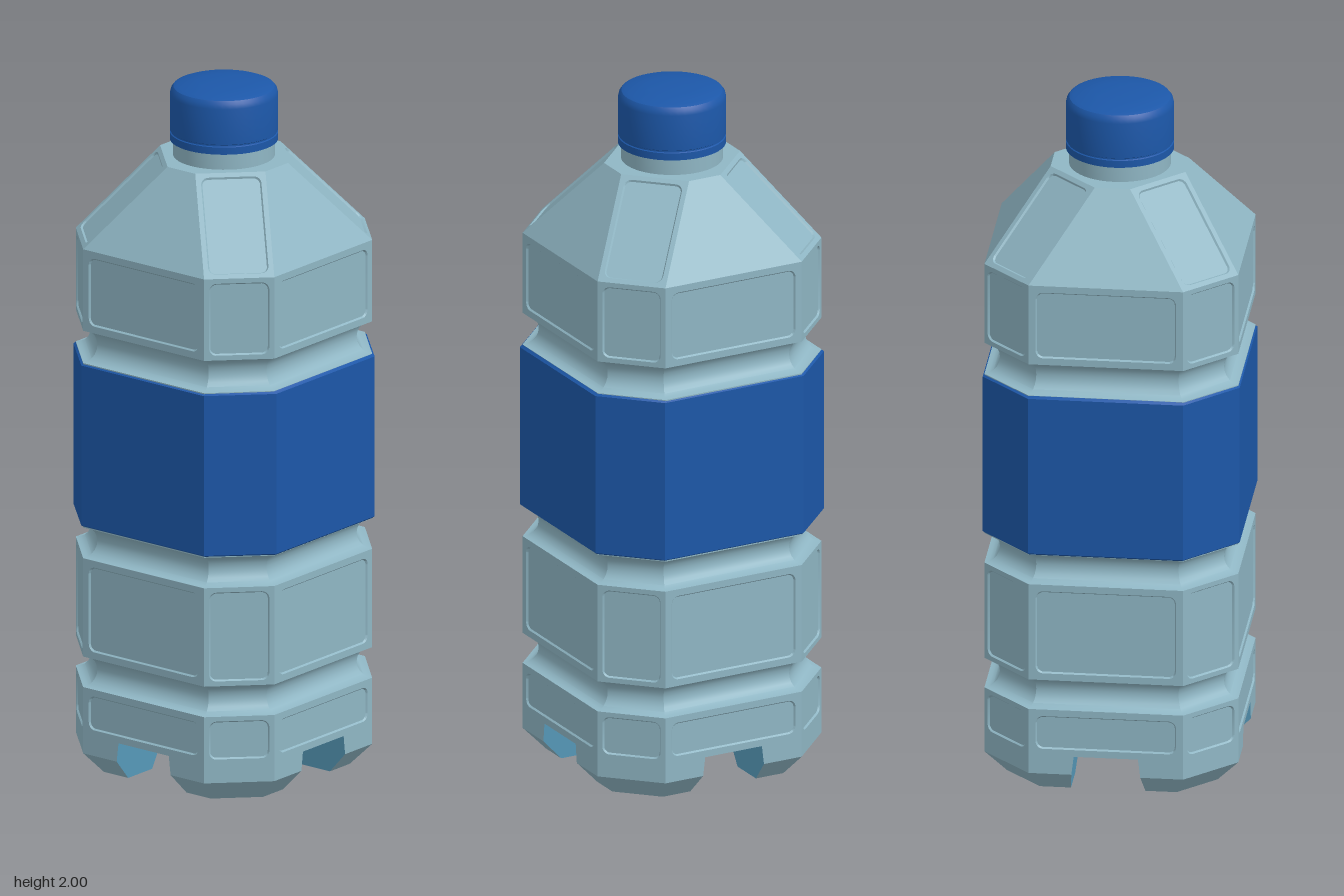
import * as THREE from 'three';
import { mergeGeometries, toCreasedNormals } from 'three/addons/utils/BufferGeometryUtils.js';

const W = 0.358, C = 0.218;          // body half width and half length of a straight side
const V = (x, y, z) => new THREE.Vector3(x, y, z);

// Octagon ring: square of half width w with its corners cut off beyond c
const oct = (y, w = W, c = C - 0.414 * (W - w)) =>
  [[w, c], [w, -c], [c, -w], [-c, -w], [-w, -c], [-w, c], [-c, w], [c, w]].map(([x, z]) => V(x, y, z));

const fromPoints = (pts) => new THREE.BufferGeometry().setFromPoints(pts);

// Skin between successive rings of points
function loft(rings, closed = true) {
  const pts = [], n = rings[0].length;
  for (let i = 0; i + 1 < rings.length; i++)
    for (let j = 0; j < (closed ? n : n - 1); j++) {
      const k = (j + 1) % n;
      const [a, b, c, d] = [rings[i][j], rings[i][k], rings[i + 1][k], rings[i + 1][j]];
      pts.push(a, b, c, a, c, d);
    }
  return fromPoints(pts);
}

// Flat fan closing a convex ring
function cap(ring, down = false) {
  const pts = [];
  for (let k = 1; k + 1 < ring.length; k++)
    pts.push(ring[0], ring[down ? k + 1 : k], ring[down ? k : k + 1]);
  return fromPoints(pts);
}

// Rounded rectangle path, centred on x = 0
function rounded(hw, y0, y1, r) {
  const s = new THREE.Shape();
  s.absarc(hw - r, y0 + r, r, -Math.PI / 2, 0);
  s.absarc(hw - r, y1 - r, r, 0, Math.PI / 2);
  s.absarc(-hw + r, y1 - r, r, Math.PI / 2, Math.PI);
  s.absarc(-hw + r, y0 + r, r, Math.PI, Math.PI * 1.5);
  return s.getPoints(5).slice(0, -1);
}

function flat(outline, hole) {
  const s = new THREE.Shape(outline);
  if (hole) s.holes.push(new THREE.Path(hole));
  const g = new THREE.ShapeGeometry(s).toNonIndexed();
  g.deleteAttribute('uv');
  g.deleteAttribute('normal');
  return g;
}

// One facet with a shallow sunken panel, from its four corners
function panelFacet(a, b, c, d, margin) {
  const depth = 0.005;
  const m = a.clone().add(b).multiplyScalar(0.5);
  const up = c.clone().add(d).multiplyScalar(0.5).sub(m);
  const h = up.length(), wb = a.distanceTo(b) / 2, wt = d.distanceTo(c) / 2;
  const u = b.clone().sub(a).normalize();
  up.normalize();
  const hw = Math.min(wb, wt) - margin;
  const outer = rounded(hw, margin, h - margin, 0.022);
  const inner = rounded(hw - 0.004, margin + 0.004, h - margin - 0.004, 0.018);
  const outline = [[-wb, 0], [wb, 0], [wt, h], [-wt, h]].map((p) => new THREE.Vector2(...p));
  const g = mergeGeometries([
    flat(outline, outer),
    loft([outer.map((p) => V(p.x, p.y, 0)), inner.map((p) => V(p.x, p.y, -depth))]),
    flat(inner).translate(0, 0, -depth),
  ]);
  const basis = new THREE.Matrix4().makeBasis(u, up, u.clone().cross(up)).setPosition(m);
  return g.applyMatrix4(basis);
}

// Eight facets between two rings; panels only where wanted
function band(lo, hi, sides = true) {
  const parts = [];
  for (let j = 0; j < 8; j++) {
    const k = (j + 1) % 8, corner = j % 2 === 1;
    parts.push(corner || sides
      ? panelFacet(lo[j], lo[k], hi[k], hi[j], corner ? 0.014 : 0.02)
      : loft([[lo[j], lo[k]], [hi[j], hi[k]]], false));
  }
  return mergeGeometries(parts);
}

// Rounded groove running round the body
function groove(y0, y1) {
  const rings = [];
  for (let i = 0; i <= 10; i++) {
    const t = (i / 10) * Math.PI;
    rings.push(oct((y0 + y1) / 2 - ((y1 - y0) / 2) * Math.cos(t), W - 0.042 * Math.sin(t)));
  }
  return loft(rings);
}

export function createModel() {
  const model = new THREE.Group();
  const plastic = new THREE.MeshStandardMaterial({ color: 0x8fb6c4 });
  const blue = new THREE.MeshStandardMaterial({ color: 0x1c57a8 });
  const inside = new THREE.MeshStandardMaterial({ color: 0x5a9fc0, side: THREE.DoubleSide });
  const add = (name, geo, mat, parent = model) => {
    const mesh = new THREE.Mesh(toCreasedNormals(geo, 0.5), mat);
    mesh.name = name;
    parent.add(mesh);
    return mesh;
  };

  // Body: panelled bands and grooves
  add('lowerBand', band(oct(0.12), oct(0.26)), plastic);
  add('middleBand', band(oct(0.35), oct(0.64)), plastic);
  add('upperBand', band(oct(1.31), oct(1.55)), plastic);
  add('labelWall', loft([oct(0.73), oct(1.215)]), plastic);
  [[0.26, 0.35], [0.64, 0.73], [1.215, 1.31]].forEach(([a, b]) => add('groove', groove(a, b), plastic));

  // Shoulder: corner facets keep their width up to the neck
  const top = oct(1.785, 0.19, 0.05);
  add('shoulder', band(oct(1.55), top, false), plastic);
  add('shoulderTop', cap(top), plastic);

  // Label sleeve with softened rims
  const label = add('label', loft([oct(0.73, 0.357), oct(0.737, 0.366), oct(1.208, 0.366), oct(1.215, 0.357)]), blue);
  label.scale.z = 0.99;

  // Neck and screw cap
  const lathe = (pts) => new THREE.LatheGeometry(pts.map((p) => new THREE.Vector2(...p)), 48);
  add('neck', lathe([[0.143, 1.78], [0.143, 1.85]]), plastic);
  add('screwCap', lathe([
    [0.14, 1.832], [0.152, 1.832], [0.152, 1.853], [0.149, 1.855], [0.149, 1.859], [0.152, 1.861],
    [0.152, 1.965], [0.149, 1.978], [0.142, 1.987], [0.13, 1.992], [0.07, 1.998], [0, 2],
  ]), blue);

  // Underside: sloping floor with a stepped recess in the middle
  const floor = [oct(0.1, 0.04, 0.017), oct(0.088, 0.06, 0.025), oct(0.066, 0.065, 0.027),
    oct(0.066, 0.1, 0.041), oct(0.12)];
  add('underside', mergeGeometries([loft(floor), cap(floor[0], true)]), inside);

  // Four corner feet separated by a cross of channels
  const outerSide = [], innerSide = [];
  for (const [y, w, i] of [[0, 0.297, 0.19], [0.065, W, 0.165], [0.12, W, 0.145]]) {
    const c = C - 0.414 * (W - w), n = 0.105 - y * 0.12;
    outerSide.push([V(n, y, w), V(c, y, w), V(w, y, c), V(w, y, n)]);
    innerSide.push([V(w, y, n), V(i, y, n), V(n, y, i), V(n, y, w)]);
  }
  const sole = [...outerSide[0], innerSide[0][1], innerSide[0][2]];
  for (let q = 0; q < 4; q++) {
    const foot = new THREE.Group();
    foot.name = 'foot';
    foot.rotation.y = (q * Math.PI) / 2;
    add('footOuter', mergeGeometries([loft(outerSide, false), cap(sole, true)]), plastic, foot);
    add('footInner', loft(innerSide, false), inside, foot);
    model.add(foot);
  }
  return model;
}
